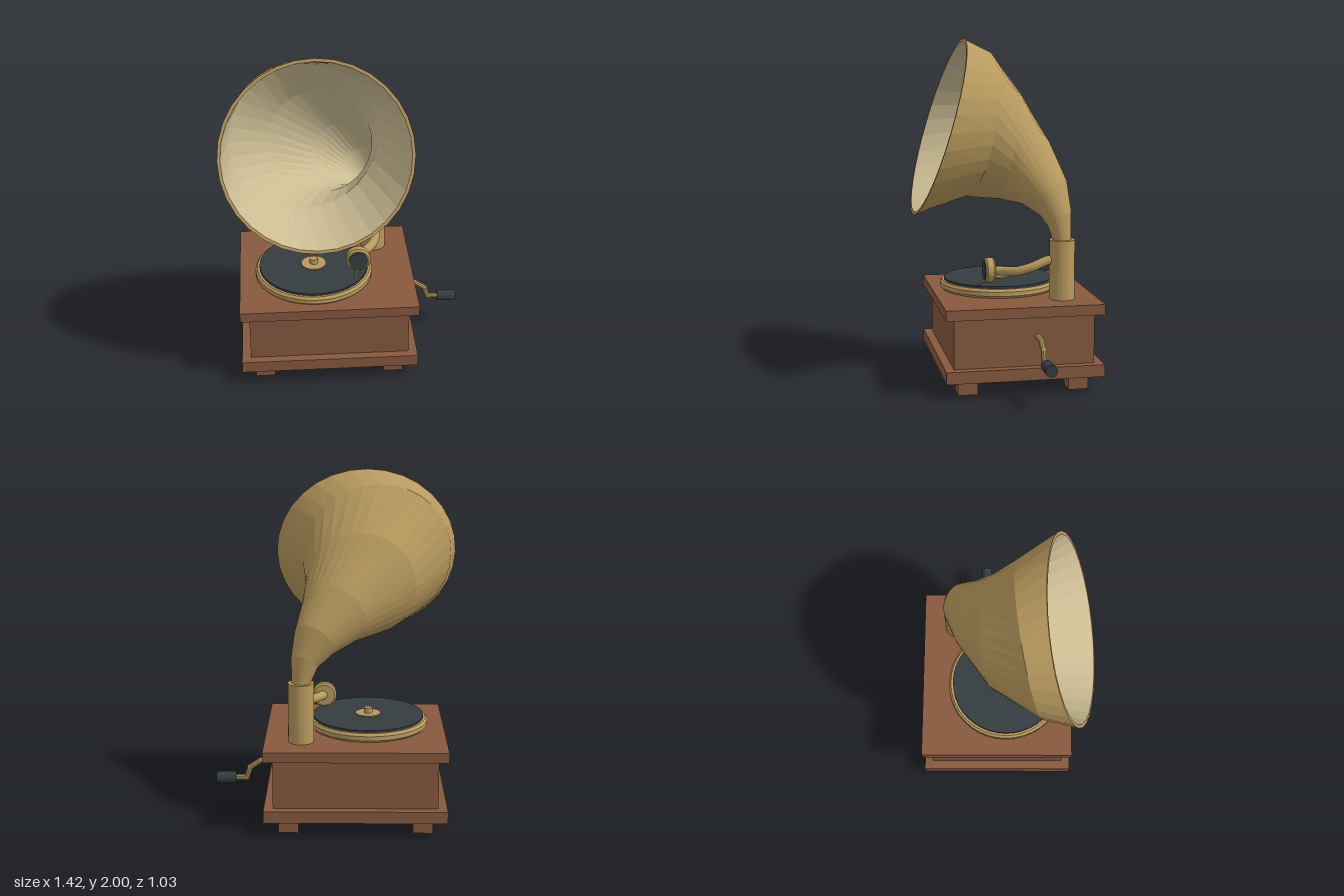
import * as THREE from 'three';

const wood = new THREE.MeshStandardMaterial({ name: 'wood', color: 0x87593f });
const brass = new THREE.MeshStandardMaterial({ name: 'brass', color: 0xb89a5e });
const paleBrass = new THREE.MeshStandardMaterial({ name: 'paleBrass', color: 0xcabb92 });
const black = new THREE.MeshStandardMaterial({ name: 'black', color: 0x343c40 });

const V = (x, y, z) => new THREE.Vector3(x, y, z);

// Split shared vertices so that every face is flat
function facet(geometry) {
  const g = geometry.index ? geometry.toNonIndexed() : geometry;
  g.computeVertexNormals();
  return g;
}

// Skin a list of rings [centre, radius, normal]; faces point away from the axis
function loft(rings, sides) {
  const pos = [];
  const index = [];
  for (const [c, r, n] of rings) {
    const axis = n.clone().normalize();
    const right = V(1, 0, 0).addScaledVector(axis, -axis.x).normalize();
    const up = axis.clone().cross(right);
    for (let j = 0; j < sides; j++) {
      const t = (j / sides) * Math.PI * 2;
      const p = c.clone().addScaledVector(right, r * Math.cos(t)).addScaledVector(up, r * Math.sin(t));
      pos.push(p.x, p.y, p.z);
    }
  }
  for (let i = 0; i < rings.length - 1; i++) {
    for (let j = 0; j < sides; j++) {
      const k = (j + 1) % sides;
      const a = i * sides + j, b = i * sides + k, d = a + sides, c = b + sides;
      index.push(a, b, c, a, c, d);
    }
  }
  const g = new THREE.BufferGeometry();
  g.setAttribute('position', new THREE.Float32BufferAttribute(pos, 3));
  g.setIndex(index);
  return facet(g);
}

export function createModel() {
  const model = new THREE.Group();
  model.name = 'gramophone';

  const add = (name, geometry, material, x = 0, y = 0, z = 0) => {
    const mesh = new THREE.Mesh(geometry, material);
    mesh.name = name;
    mesh.position.set(x, y, z);
    model.add(mesh);
    return mesh;
  };
  const slab = (name, w, d, y0, y1, x = -0.11, z = -0.055) =>
    add(name, new THREE.BoxGeometry(w, y1 - y0, d), wood, x, (y0 + y1) / 2, z);
  const drum = (name, r, y0, y1, material, x, z, sides = 40) =>
    add(name, facet(new THREE.CylinderGeometry(r, r, y1 - y0, sides)), material, x, (y0 + y1) / 2, z);

  // Wooden case
  slab('bottomBoard', 1.04, 0.91, 0.09, 0.16);
  slab('caseBody', 0.935, 0.81, 0.16, 0.45);
  slab('topBoard', 1.04, 0.91, 0.45, 0.51);
  for (const x of [-0.495, 0.272]) {
    for (const z of [-0.375, 0.267]) slab('foot', 0.114, 0.114, 0, 0.09, x, z);
  }

  // Turntable, record and spindle
  const platter = [[0, 0.511], [0.335, 0.511], [0.35, 0.525], [0.35, 0.55], [0.338, 0.565], [0, 0.565]];
  add('platter', facet(new THREE.LatheGeometry(platter.map(([x, y]) => new THREE.Vector2(x, y)), 40)),
    brass, -0.185, 0, 0);
  drum('record', 0.325, 0.565, 0.578, black, -0.185, 0);
  drum('recordLabel', 0.075, 0.578, 0.585, brass, -0.185, 0, 24);
  drum('spindle', 0.025, 0.585, 0.616, brass, -0.185, 0, 16);

  // Post that carries the horn and the arm
  drum('hornPost', 0.074, 0.51, 0.855, brass, 0.2, -0.305, 24);

  // Horn: bends out of the post, then flares forward
  const rings = [
    [V(0.2, 0.845, -0.305), 0.052, V(0, 1, 0)],
    [V(0.18, 0.97, -0.295), 0.08, V(-0.35, 0.8, 0.5)],
    [V(0.125, 1.085, -0.27), 0.126, V(-0.45, 0.55, 0.7)],
    [V(0.015, 1.22, -0.19), 0.198, V(-0.4, 0.37, 0.85)],
    [V(-0.14, 1.365, -0.062), 0.318, V(-0.1, 0.21, 0.97)],
    [V(-0.235, 1.495, 0.13), 0.438, V(0.11, 0.17, 0.97)],
    [V(-0.174, 1.485, 0.36), 0.537, V(0, 0.29, 0.957)],
  ];
  const lining = rings.map(([c, r, n]) => [c, r - (r > 0.3 ? 0.018 : 0.012), n]);
  add('hornOutside', loft([...rings, lining[6]], 32), brass);
  add('hornInside', loft([...lining].reverse(), 32), paleBrass);

  // Tone arm
  const armPath = new THREE.CatmullRomCurve3([
    V(0.2, 0.74, -0.27), V(0.2, 0.735, -0.22), V(0.2, 0.7, -0.13),
    V(0.175, 0.675, -0.05), V(0.12, 0.667, 0.02), V(0.075, 0.667, 0.09),
  ]);
  add('toneArm', facet(new THREE.TubeGeometry(armPath, 16, 0.027, 12)), brass);

  // Sound box with a dark diaphragm on its front
  const box = [[0, -0.028], [0.062, -0.028], [0.073, -0.018], [0.073, 0.018], [0.062, 0.028], [0, 0.028]];
  const soundBox = add('soundBox',
    facet(new THREE.LatheGeometry(box.map(([x, y]) => new THREE.Vector2(x, y)), 24)), brass, 0.075, 0.667, 0.098);
  soundBox.rotation.x = Math.PI / 2;
  const face = add('diaphragm', facet(new THREE.CylinderGeometry(0.056, 0.056, 0.006, 24)),
    black, 0.075, 0.667, 0.128);
  face.rotation.x = Math.PI / 2;
  const needlePath = new THREE.LineCurve3(V(0.075, 0.615, 0.11), V(0.055, 0.577, 0.165));
  add('needle', facet(new THREE.TubeGeometry(needlePath, 1, 0.007, 8)), brass);

  // Winding crank on the left side
  const crank = new THREE.CurvePath();
  const bends = [V(0.34, 0.328, -0.13), V(0.445, 0.328, -0.13), V(0.51, 0.285, -0.13),
    V(0.53, 0.222, -0.13), V(0.61, 0.222, -0.13)];
  const crankRings = bends.map((p, i) => {
    const before = bends[Math.max(i - 1, 0)], after = bends[Math.min(i + 1, bends.length - 1)];
    const a = p.clone().sub(before).normalize(), b = after.clone().sub(p).normalize();
    return { p, n: a.add(b).normalize() };
  });
  bends.slice(1).forEach((p, i) => crank.add(new THREE.LineCurve3(bends[i], p)));
  for (let i = 0; i < bends.length - 1; i++) {
    const a = crankRings[i].p, b = crankRings[i + 1].p;
    add('crankRod', facet(new THREE.TubeGeometry(new THREE.LineCurve3(a, b), 1, 0.017, 10)), brass);
    add('crankJoint', facet(new THREE.SphereGeometry(0.017, 10, 6)), brass, b.x, b.y, b.z);
  }
  const handle = add('crankHandle', facet(new THREE.CylinderGeometry(0.034, 0.034, 0.115, 16)),
    black, 0.648, 0.222, -0.13);
  handle.rotation.z = Math.PI / 2;

  return model;
}
